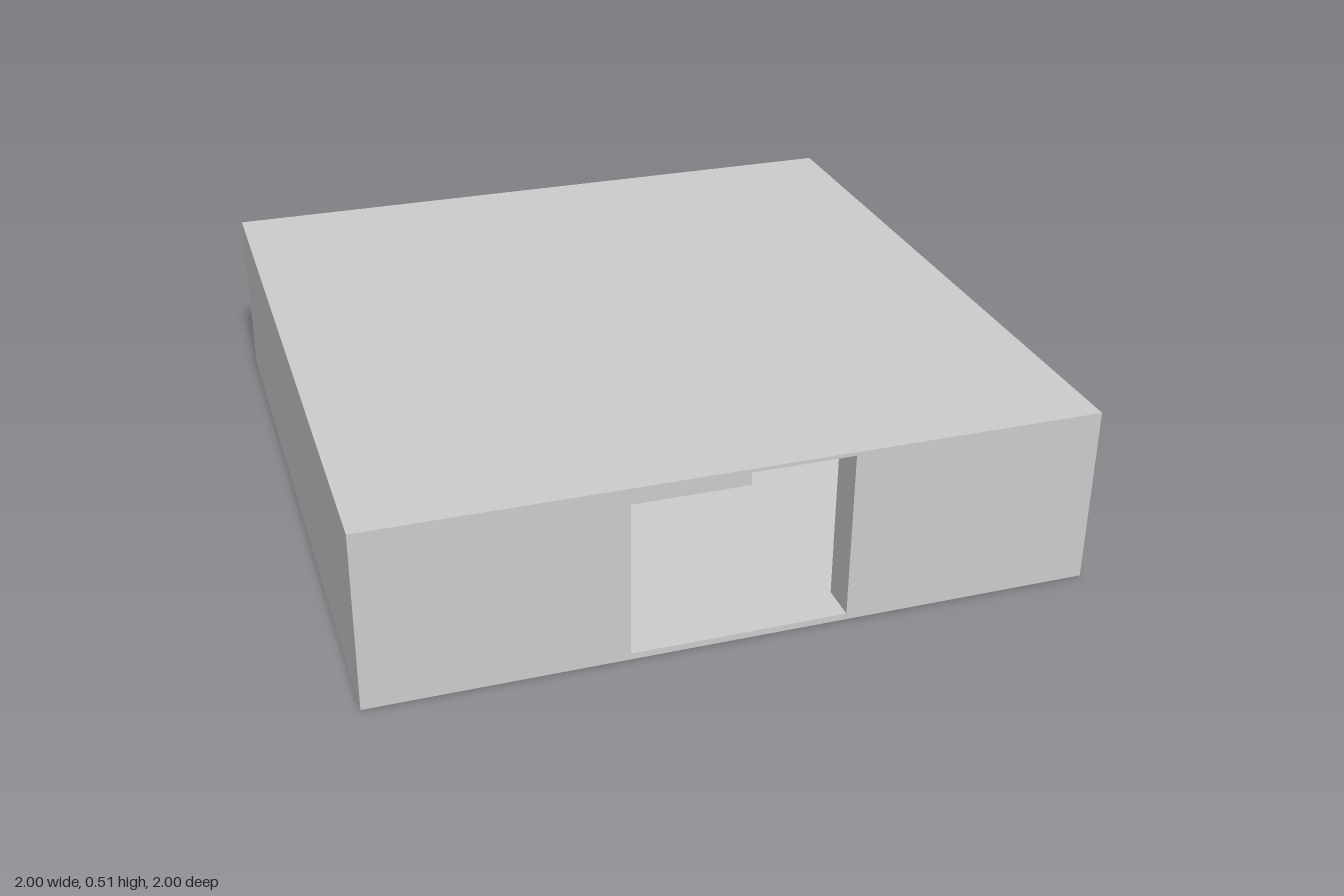
import * as THREE from 'three';

const HEIGHT = 0.51, ROOM = 0.9, FLOOR = 0.013, CEILING = 0.5, CORE = 0.3, DOOR = 0.3, SKIN = 0.012;

const material = new THREE.MeshStandardMaterial({ color: 0xcccccc, side: THREE.DoubleSide });

// Closed rectangle outline from its limits
function rectPoints(x0, y0, x1, y1) {
  return [[x0, y0], [x1, y0], [x1, y1], [x0, y1]].map(([x, y]) => new THREE.Vector2(x, y));
}

// Upright panel centred on z = 0, with an optional rectangular opening
function panelGeometry(outline, opening, thickness) {
  const shape = new THREE.Shape(rectPoints(...outline));
  if (opening) shape.holes.push(new THREE.Path(rectPoints(...opening)));
  if (!thickness) return new THREE.ShapeGeometry(shape);
  return new THREE.ExtrudeGeometry(shape, { depth: thickness, bevelEnabled: false })
    .translate(0, 0, -thickness / 2);
}

export function createModel() {
  const model = new THREE.Group();
  model.name = 'pavilion';

  function add(name, geometry) {
    const mesh = new THREE.Mesh(geometry, material);
    mesh.name = name;
    model.add(mesh);
    return mesh;
  }

  const sides = ['front', 'left', 'back', 'right'];
  const door = [-DOOR, FLOOR, DOOR, CEILING];

  sides.forEach((side, i) => {
    const turn = i * Math.PI / 2;
    const hasDoor = side === 'front';

    // Thin outer wall, open underneath
    add(side + 'OuterWall', panelGeometry([-1, 0, 1, HEIGHT], hasDoor && door, 0)
      .translate(0, 0, 1).rotateY(turn));

    // Room wall, set in from the outer wall
    add(side + 'RoomWall', panelGeometry([-ROOM, FLOOR, ROOM, CEILING], hasDoor && door, SKIN)
      .translate(0, 0, ROOM).rotateY(turn));

    // Central core wall with its window
    const half = i % 2 ? 0.18 : 0.085;
    add(side + 'CoreWall', panelGeometry([-CORE, FLOOR, CORE, CEILING], [-half, 0.145, half, 0.39], SKIN)
      .translate(0, 0, CORE - SKIN / 2).rotateY(turn));
  });

  // Roof slab, also the ceiling
  add('roof', new THREE.BoxGeometry(2, HEIGHT - CEILING, 2)
    .translate(0, (HEIGHT + CEILING) / 2, 0));

  // Floor with a doorway tongue and a square shaft under the core
  const plan = new THREE.Shape([
    [-ROOM, -ROOM], [-DOOR, -ROOM], [-DOOR, -1], [DOOR, -1],
    [DOOR, -ROOM], [ROOM, -ROOM], [ROOM, ROOM], [-ROOM, ROOM],
  ].map(([x, y]) => new THREE.Vector2(x, y)));
  const inner = CORE - SKIN / 2;
  plan.holes.push(new THREE.Path(rectPoints(-inner, -inner, inner, inner)));
  add('floor', new THREE.ExtrudeGeometry(plan, { depth: 0.005, bevelEnabled: false })
    .rotateX(-Math.PI / 2).translate(0, FLOOR, 0));

  // Door jambs across the wall cavity
  for (const s of [-1, 1]) {
    add(s > 0 ? 'leftJamb' : 'rightJamb',
      new THREE.PlaneGeometry(1 - ROOM, CEILING - FLOOR).rotateY(Math.PI / 2)
        .translate(s * DOOR, (CEILING + FLOOR) / 2, (1 + ROOM) / 2));
  }

  return model;
}
